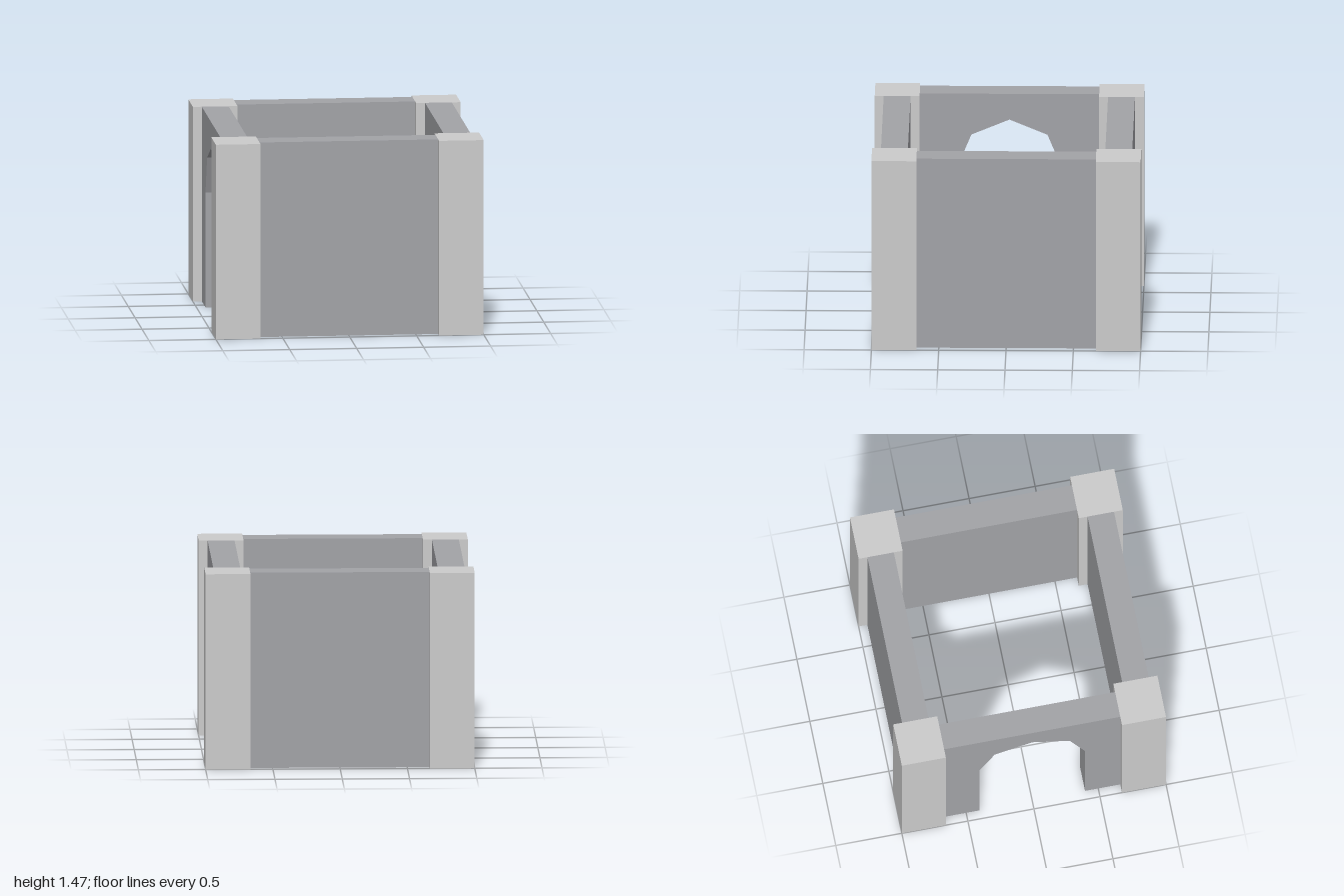
import * as THREE from 'three';

const U = 1 / 15; // design unit
const HEIGHT = 22 * U;

const towerMaterial = new THREE.MeshStandardMaterial({ color: 0xcccccc, flatShading: true });
const wallMaterial = new THREE.MeshStandardMaterial({ color: 0xa2a3a7, flatShading: true });

// Wall outline, optionally with a faceted round-headed gateway open at the ground
function wallShape(hasGate) {
  const half = 10 * U, radius = 6 * U, spring = 13 * U;
  const shape = new THREE.Shape();
  shape.moveTo(-half, 0);
  if (hasGate) {
    shape.lineTo(-radius, 0);
    for (let i = 0; i <= 4; i++) {
      const a = Math.PI * (1 - i / 4);
      shape.lineTo(radius * Math.cos(a), spring + radius * Math.sin(a));
    }
    shape.lineTo(radius, 0);
  }
  shape.lineTo(half, 0);
  shape.lineTo(half, HEIGHT);
  shape.lineTo(-half, HEIGHT);
  shape.closePath();
  return shape;
}

// Wall slab on the +z side, turned about the centre to its own side
function makeWall(name, angle, hasGate = false) {
  const geometry = new THREE.ExtrudeGeometry(wallShape(hasGate), { depth: 3 * U, bevelEnabled: false });
  geometry.translate(0, 0, 11 * U);
  const wall = new THREE.Mesh(geometry, wallMaterial);
  wall.name = name;
  wall.rotation.y = angle;
  return wall;
}

export function createModel() {
  const model = new THREE.Group();
  model.name = 'walledCourtyard';

  // Square corner towers
  const towerGeometry = new THREE.BoxGeometry(5 * U, HEIGHT, 5 * U);
  for (const [x, xName] of [[1, 'Left'], [-1, 'Right']]) {
    for (const [z, zName] of [[1, 'front'], [-1, 'back']]) {
      const tower = new THREE.Mesh(towerGeometry, towerMaterial);
      tower.name = `${zName}${xName}Tower`;
      tower.position.set(x * 12.5 * U, HEIGHT / 2, z * 12.5 * U);
      model.add(tower);
    }
  }

  // Three solid walls and the gateway wall on -x
  model.add(
    makeWall('frontWall', 0),
    makeWall('leftWall', Math.PI / 2),
    makeWall('backWall', Math.PI),
    makeWall('gateWall', -Math.PI / 2, true)
  );
  return model;
}
